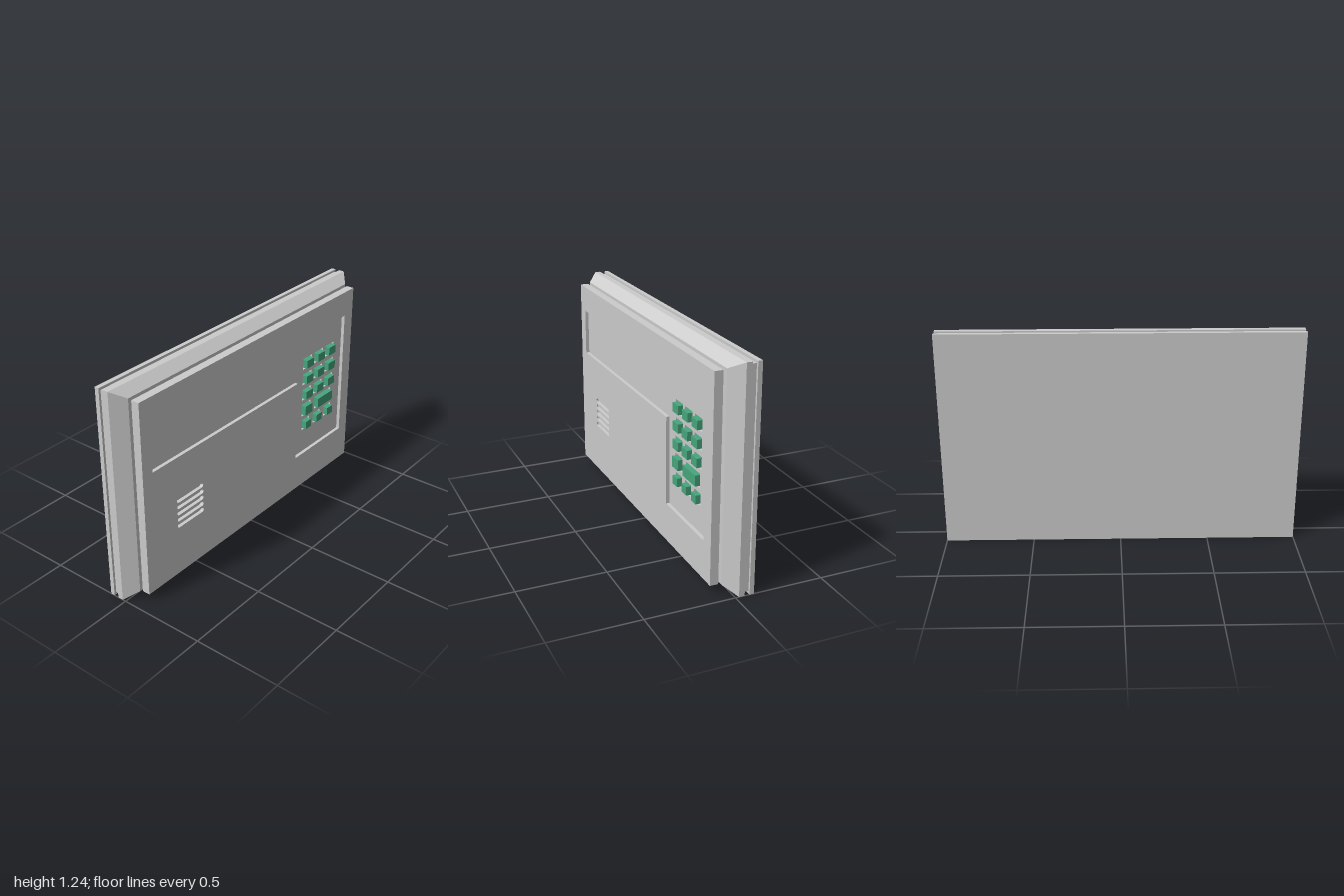
import * as THREE from 'three';

const H = 1.24;
const grey = new THREE.MeshStandardMaterial({ color: 0xcccccc });
const green = new THREE.MeshStandardMaterial({ color: 0x46a67e });

// Box given by its limits on each axis
function slab(name, x0, x1, y0, y1, z0, z1, material = grey) {
  const geo = new THREE.BoxGeometry(x1 - x0, y1 - y0, z1 - z0);
  geo.translate((x0 + x1) / 2, (y0 + y1) / 2, (z0 + z1) / 2);
  const mesh = new THREE.Mesh(geo, material);
  mesh.name = name;
  return mesh;
}

const outline = (pts, Type = THREE.Path) => new Type(pts.map(([x, y]) => new THREE.Vector2(x, y)));
const rect = (x0, x1, y0, y1, Type) => outline([[x0, y0], [x1, y0], [x1, y1], [x0, y1]], Type);

// Horizontal slot with rounded ends
function slot(x0, x1, y, r) {
  const p = new THREE.Path();
  p.moveTo(x0 + r, y - r);
  p.lineTo(x1 - r, y - r);
  p.absarc(x1 - r, y, r, -Math.PI / 2, Math.PI / 2, false);
  p.lineTo(x0 + r, y + r);
  p.absarc(x0 + r, y, r, Math.PI / 2, Math.PI * 1.5, false);
  return p;
}

function plate(name, shape, z0, z1) {
  const geo = new THREE.ExtrudeGeometry(shape, { depth: z1 - z0, bevelEnabled: false, curveSegments: 6 });
  geo.translate(0, 0, z0);
  const mesh = new THREE.Mesh(geo, grey);
  mesh.name = name;
  return mesh;
}

export function createModel() {
  const model = new THREE.Group();
  model.name = 'controlPanel';

  // Back plate, shadow groove and the straight part of the frame
  model.add(slab('backPlate', -1, 1, 0, H, -0.105, -0.08));
  model.add(slab('backGroove', -0.987, 0.987, 0.014, H - 0.014, -0.08, -0.052));
  model.add(slab('frame', -1, 1, 0, H, -0.052, -0.02));

  // Chamfered frame front: the front corners move inward
  const bevel = slab('frameBevel', -1, 1, 0, H, -0.02, 0.043);
  const pos = bevel.geometry.attributes.position;
  for (let i = 0; i < pos.count; i++) {
    if (pos.getZ(i) < 0) continue;
    pos.setX(i, pos.getX(i) > 0 ? 0.925 : -0.93);
    pos.setY(i, pos.getY(i) > H / 2 ? 1.197 : 0.045);
  }
  bevel.geometry.computeVertexNormals();
  model.add(bevel);

  // Neck between frame and front panel
  model.add(slab('neck', -0.83, 0.825, 0.108, 1.135, 0.043, 0.058));

  // Keys: x, y, width, height
  const columns = [0.495, 0.607, 0.719];
  const keys = [];
  for (const y of [0.858, 0.757, 0.655]) for (const x of columns) keys.push([x, y, 0.066, 0.05]);
  keys.push([0.495, 0.553, 0.07, 0.06], [0.663, 0.553, 0.148, 0.06]);
  for (const x of columns) keys.push([x, 0.452, 0.054, 0.048]);

  // Front panel in three layers: base, key sheet with holes, face with cutouts
  const [x0, x1, y0, y1] = [-0.925, 0.92, 0.05, 1.19];
  const panel = new THREE.Group();
  panel.name = 'frontPanel';
  panel.add(slab('panelBase', x0, x1, y0, y1, 0.058, 0.07));

  const sheet = rect(x0, x1, y0, y1, THREE.Shape);
  const gap = 0.01;
  for (const [x, y, w, h] of keys) {
    sheet.holes.push(rect(x - w / 2 - gap, x + w / 2 + gap, y - h / 2 - gap, y + h / 2 + gap));
  }
  panel.add(plate('keySheet', sheet, 0.07, 0.085));

  const face = rect(x0, x1, y0, y1, THREE.Shape);
  face.holes.push(outline([
    [-0.855, 0.77], [0.375, 0.77], [0.375, 0.268], [0.84, 0.268], [0.84, 1.04], [-0.855, 1.04],
  ]));
  for (let i = 0; i < 5; i++) face.holes.push(slot(-0.685, -0.475, 0.353 + i * 0.039, 0.013));
  panel.add(plate('panelFace', face, 0.085, 0.105));
  model.add(panel);

  // Keypad
  const keypad = new THREE.Group();
  keypad.name = 'keypad';
  for (const [x, y, w, h] of keys) {
    keypad.add(slab('key', x - w / 2, x + w / 2, y - h / 2, y + h / 2, 0.07, 0.108, green));
  }
  model.add(keypad);

  return model;
}
